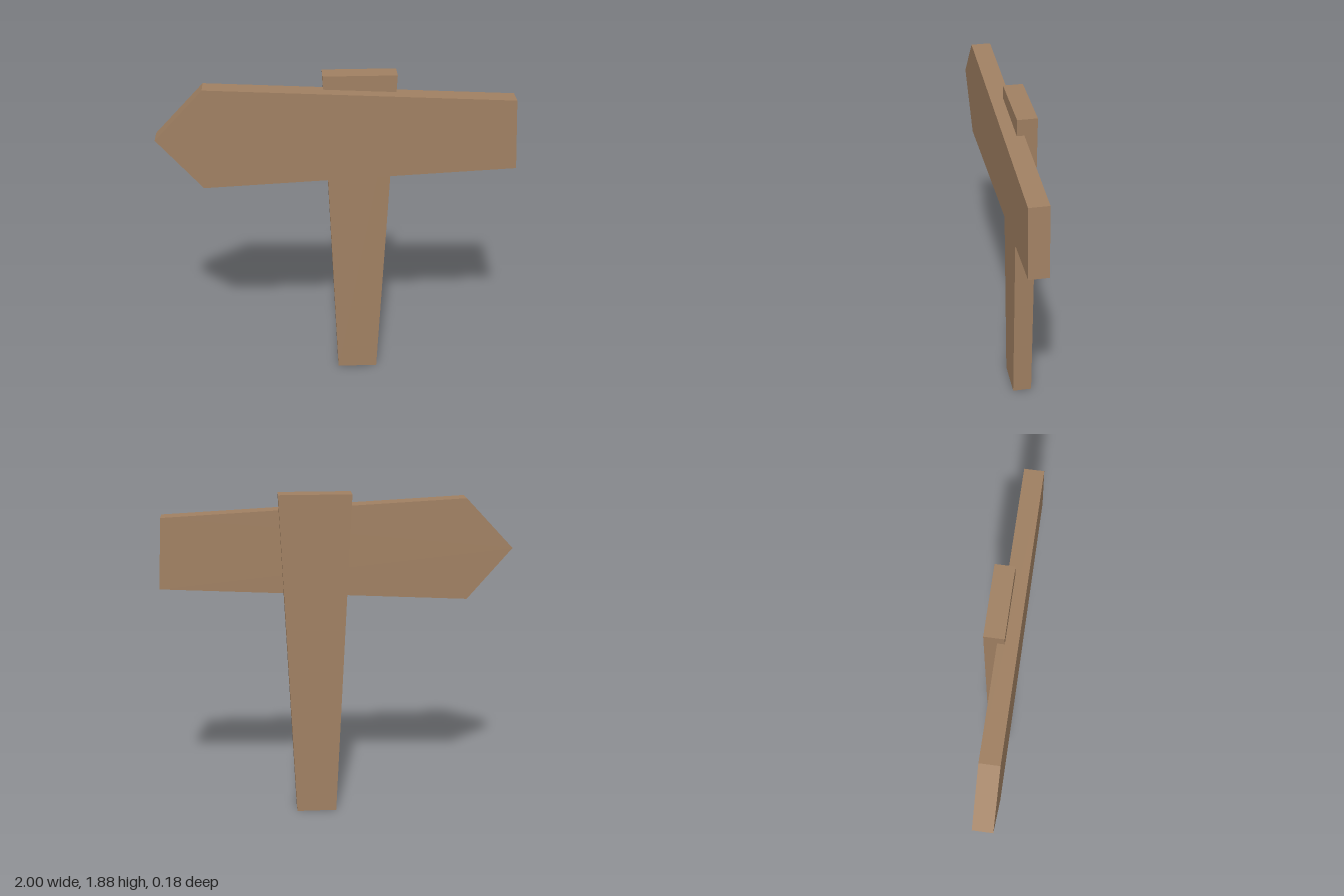
import * as THREE from 'three';

// Flat plank: an outline in x/y, extruded from zBack to zFront
function plank(name, points, zBack, zFront, material) {
  const shape = new THREE.Shape(points.map(([x, y]) => new THREE.Vector2(x, y)));
  const geometry = new THREE.ExtrudeGeometry(shape, { depth: zFront - zBack, bevelEnabled: false });
  geometry.translate(0, 0, zBack);
  const mesh = new THREE.Mesh(geometry, material);
  mesh.name = name;
  return mesh;
}

export function createModel() {
  const wood = new THREE.MeshStandardMaterial({ color: 0xa08062 });
  wood.name = 'wood';

  const model = new THREE.Group();
  model.name = 'signpost';

  // Post, widening towards the top
  model.add(plank('post', [
    [0.01, 0], [0.24, 0], [0.33, 1.88], [-0.08, 1.88],
  ], -0.09, 0.02, wood));

  // Arrow board, overlapping the front of the post
  model.add(plank('arrowBoard', [
    [-1, 1.55], [-0.745, 1.257], [1, 1.345], [0.98, 1.75], [-0.73, 1.838],
  ], -0.02, 0.09, wood));

  return model;
}
